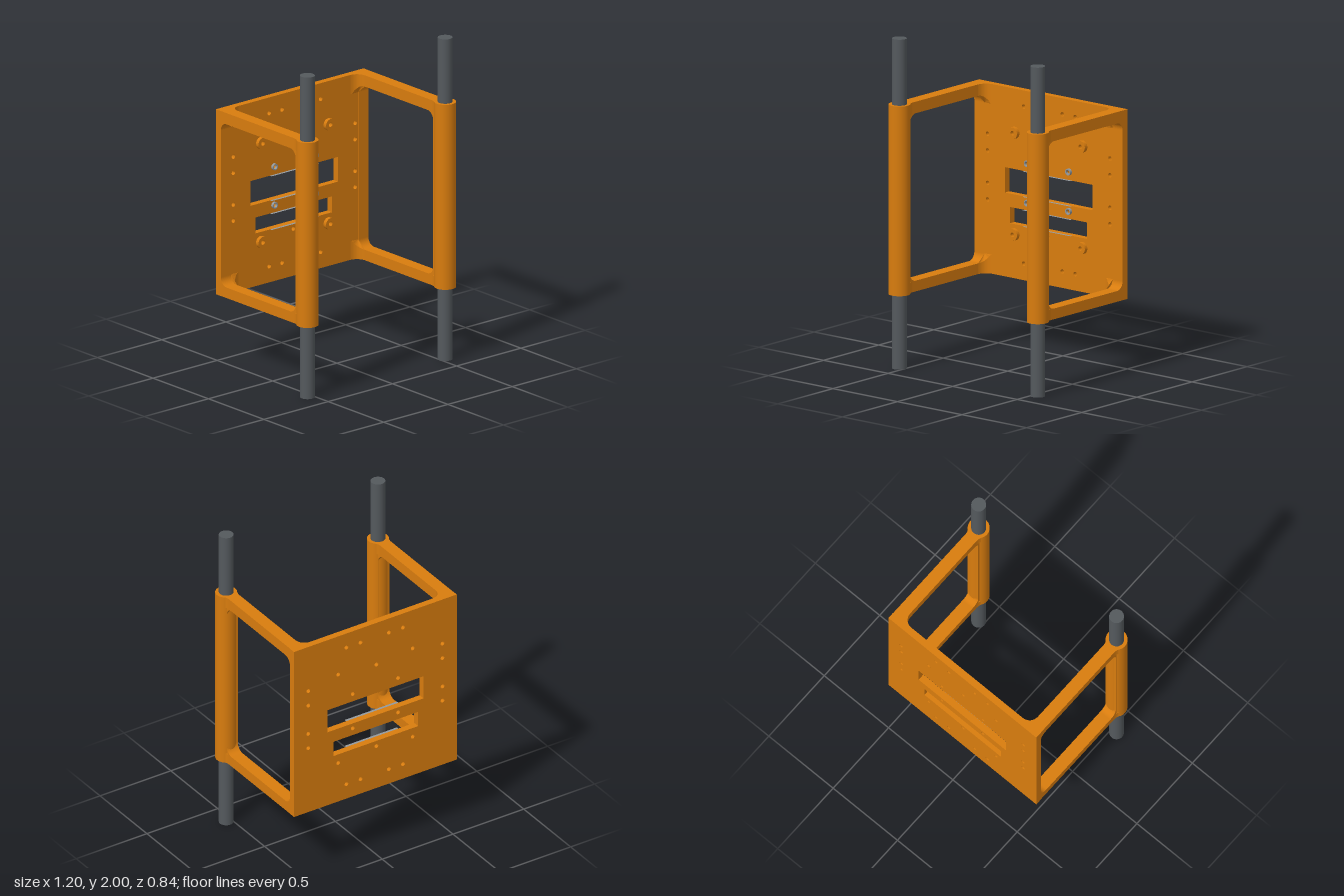
import * as THREE from 'three';

const Y0 = 0.45, Y1 = 1.6;           // bracket bottom and top
const W0 = 0.515, W1 = 1.53;         // side window bottom and top
const ZB = -0.42, ZP = -0.378;       // plate back and front faces
const MID = -0.005;                  // bracket centre line
const ROD_X = 0.536, ROD_Z = 0.355;

export function createModel() {
  const model = new THREE.Group();
  const orange = new THREE.MeshStandardMaterial({ color: 0xd87c0e });
  const dark = new THREE.MeshStandardMaterial({ color: 0x54595d });
  const grey = new THREE.MeshStandardMaterial({ color: 0x94999c, side: THREE.DoubleSide });

  const add = (name, geometry, material, x = 0, y = 0, z = 0) => {
    const mesh = new THREE.Mesh(geometry, material);
    mesh.name = name;
    mesh.position.set(x, y, z);
    model.add(mesh);
  };
  const extrude = (shape, depth) =>
    new THREE.ExtrudeGeometry(shape, { depth, bevelEnabled: false, curveSegments: 12 });
  const rect = (path, x0, x1, y0, y1) => {
    path.moveTo(x0, y0);
    path.lineTo(x1, y0);
    path.lineTo(x1, y1);
    path.lineTo(x0, y1);
    path.closePath();
    return path;
  };
  const circle = (path, x, y, r) => path.absarc(x, y, r, 0, Math.PI * 2, false);
  const roundRect = (p, x0, x1, y0, y1, r) => {
    p.absarc(x1 - r, y0 + r, r, -Math.PI / 2, 0, false);
    p.absarc(x1 - r, y1 - r, r, 0, Math.PI / 2, false);
    p.absarc(x0 + r, y1 - r, r, Math.PI / 2, Math.PI, false);
    p.absarc(x0 + r, y0 + r, r, Math.PI, Math.PI * 1.5, false);
    p.closePath();
    return p;
  };

  // Back plate with two slots and screw holes
  const plate = rect(new THREE.Shape(), -0.58, 0.57, Y0, Y1);
  plate.holes.push(rect(new THREE.Path(), -0.345, 0.335, 0.958, 1.112));
  plate.holes.push(rect(new THREE.Path(), -0.307, 0.29, 0.778, 0.877));
  const bosses = [], spacers = [], screws = [[-0.012, 1.31], [-0.012, 0.742]];
  for (const s of [-1, 1]) {
    for (const y of [0.55, 1.502]) screws.push([s * 0.2, y], [s * 0.1, y]);
    for (const y of [0.895, 0.995, 1.192, 1.293]) screws.push([MID + s * 0.474, y]);
    for (const y of [0.718, 1.334]) bosses.push([MID + s * 0.263, y]);
    for (const y of [0.924, 1.163]) spacers.push([MID + s * 0.16, y]);
  }
  for (const [x, y] of [...screws, ...bosses, ...spacers]) {
    plate.holes.push(circle(new THREE.Path(), x, y, 0.0135));
  }
  add('backPlate', extrude(plate, ZP - ZB), orange, 0, 0, ZB);

  // Raised rings round the mounting holes
  const ring = (radius, depth) => {
    const shape = circle(new THREE.Shape(), 0, 0, radius);
    shape.holes.push(circle(new THREE.Path(), 0, 0, 0.0135));
    return extrude(shape, depth);
  };
  for (const [x, y] of bosses) add('mountingBoss', ring(0.036, 0.023), orange, x, y, ZP);
  for (const [x, y] of spacers) add('spacer', ring(0.02, 0.016), grey, x, y, ZP);

  // Thin lips along the slot edges
  for (const y of [0.778, 0.877, 0.958, 1.112]) {
    add('slotLip', new THREE.PlaneGeometry(0.37, 0.016).rotateX(-Math.PI / 2), grey, -0.01, y, ZP + 0.008);
  }

  // Prism with an x/-z outline, standing between two heights
  const prism = (shape, y0, y1) => extrude(shape, y1 - y0).rotateX(-Math.PI / 2).translate(0, y0, 0);

  for (const s of [-1, 1]) {
    const side = s < 0 ? 'right' : 'left';
    const armX = MID + s * 0.535, inner = MID + s * 0.496;

    // Open side frame, drawn in -z/y and extruded across
    const frame = rect(new THREE.Shape(), -0.31, -ZP, Y0, Y1);
    frame.holes.push(roundRect(new THREE.Path(), -0.298, 0.375, W0, W1, 0.05));
    add(side + 'SideFrame', extrude(frame, 0.078).rotateY(Math.PI / 2), orange, armX - 0.039);

    // Sleeve and the rod running through it
    add(side + 'Sleeve', new THREE.CylinderGeometry(0.065, 0.065, Y1 - Y0, 48), orange,
      s * ROD_X, (Y0 + Y1) / 2, ROD_Z);
    add(side + 'Rod', new THREE.CylinderGeometry(0.044, 0.044, 2, 40), dark, s * ROD_X, 1, ROD_Z);

    // Fillets at the plate corner and where the arms meet the sleeve
    for (const [y0, y1, up] of [[Y0, W0, 1], [W1, Y1, -1]]) {
      const corner = new THREE.Shape();
      corner.moveTo(inner, -ZP);
      corner.lineTo(inner - s * 0.06, -ZP);
      corner.quadraticCurveTo(inner - s * 0.006, -ZP - 0.006, inner, -ZP - 0.06);
      const fillet = prism(corner, y0, y1);

      // Follow the rounded window corner on the window side
      const pos = fillet.attributes.position;
      const windowY = up > 0 ? y1 : y0;
      for (let i = 0; i < pos.count; i++) {
        if (Math.abs(pos.getY(i) - windowY) > 0.001) continue;
        const t = THREE.MathUtils.clamp(-0.325 - pos.getZ(i), 0, 0.05) / 0.05;
        pos.setY(i, windowY + up * 0.05 * (1 - Math.sqrt(1 - t * t)));
      }
      fillet.computeVertexNormals();
      add(side + 'CornerFillet', fillet, orange);

      for (const e of [-1, 1]) {
        const neck = new THREE.Shape();
        const edge = armX + e * 0.039;
        neck.moveTo(edge - e * 0.01, -0.275);
        neck.lineTo(edge, -0.275);
        neck.quadraticCurveTo(edge, -0.303, s * ROD_X + e * 0.053, -0.318);
        neck.lineTo(edge - e * 0.01, -0.318);
        add(side + 'NeckFillet', prism(neck, y0, y1), orange);
      }
    }
  }
  return model;
}
